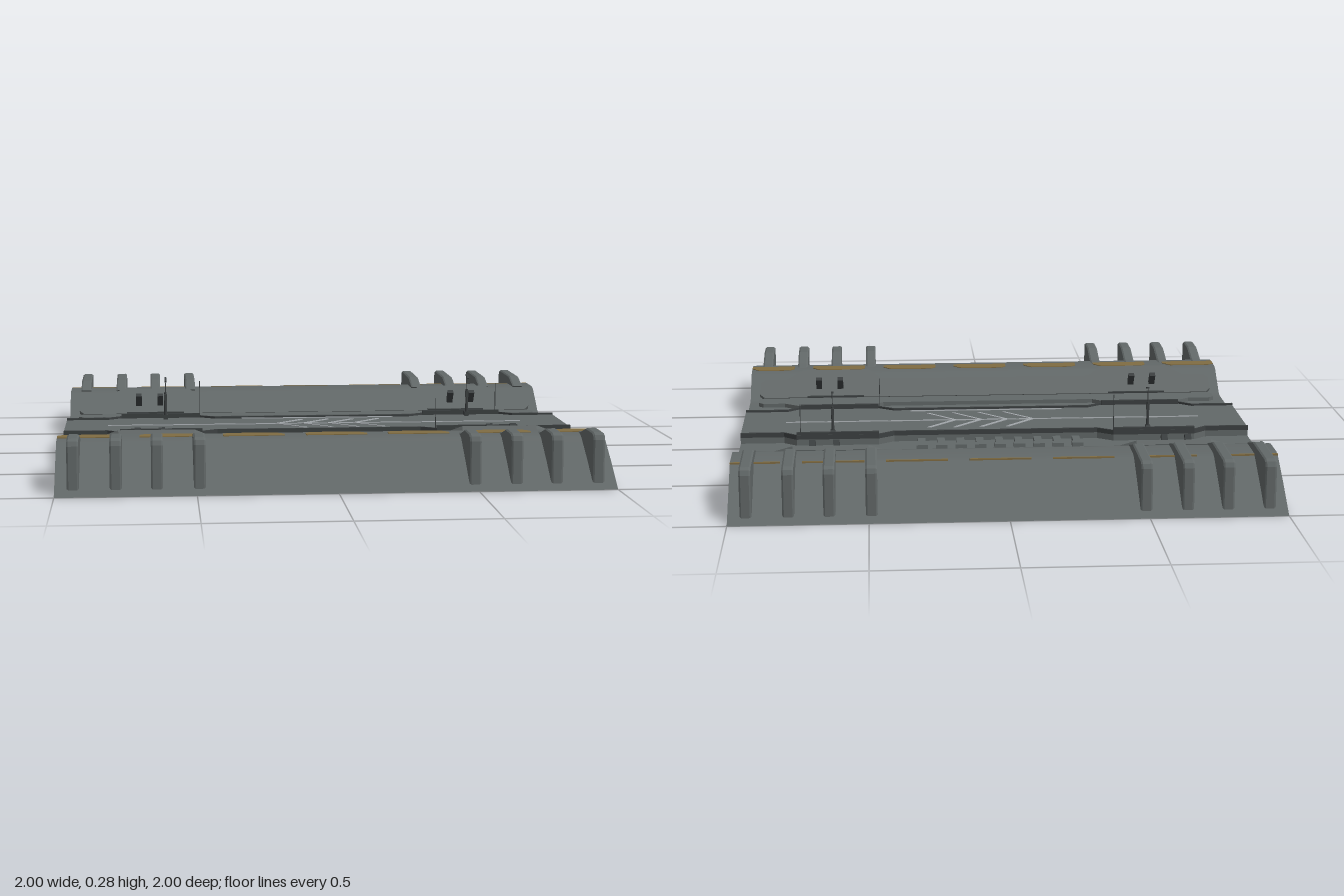
import * as THREE from 'three';

const mat = (name, color, side = THREE.FrontSide) => {
  const m = new THREE.MeshStandardMaterial({ color, side });
  m.name = name;
  return m;
};

export function createModel() {
  const root = new THREE.Group();
  root.name = 'trackSegment';
  const grey = mat('grey metal', 0x626868);
  const shell = mat('grey shell', 0x626868, THREE.DoubleSide);
  const dark = mat('dark metal', 0x3c4041);
  const amber = mat('amber paint', 0x806c42, THREE.DoubleSide);
  const pale = mat('pale paint', 0xa4a9ad);

  const add = (parent, name, geo, m, x = 0, y = 0, z = 0) => {
    const mesh = new THREE.Mesh(geo, m);
    mesh.name = name;
    mesh.position.set(x, y, z);
    parent.add(mesh);
    return mesh;
  };
  const box = (parent, name, m, w, h, d, x, y, z) => add(parent, name, new THREE.BoxGeometry(w, h, d), m, x, y, z);
  // Flat plate: outline in x, z; thickness along y
  const plate = (pts, h) => {
    const s = new THREE.Shape(pts.map(([x, z]) => new THREE.Vector2(x, -z)));
    return new THREE.ExtrudeGeometry(s, { depth: h, bevelEnabled: false }).rotateX(-Math.PI / 2);
  };
  const mirrorX = half => [...half, ...half.map(([x, z]) => [-x, z]).reverse()];

  // Trough-shaped base: one cross-section swept along x, open underneath
  const half = [[1, 0], [0.88, 0.085], [0.77, 0.155], [0.74, 0.165], [0.63, 0.165], [0.6, 0.158], [0.49, 0.075], [0.47, 0.07], [0.42, 0.07]];
  const profile = [...half, ...half.map(([z, y]) => [-z, y]).reverse()];
  const pos = [], idx = [];
  profile.forEach(([z, y], i) => {
    pos.push(-1, y, z, 1, y, z);
    const a = i * 2;
    if (i < profile.length - 1) idx.push(a, a + 1, a + 2, a + 1, a + 3, a + 2);
  });
  const sweep = new THREE.BufferGeometry();
  sweep.setAttribute('position', new THREE.Float32BufferAttribute(pos, 3));
  sweep.setIndex(idx);
  sweep.computeVertexNormals();
  add(root, 'base', sweep, shell);
  const endShape = new THREE.Shape(profile.map(([z, y]) => new THREE.Vector2(-z, y)));
  for (const s of [1, -1]) {
    add(root, 'endWall', new THREE.ShapeGeometry(endShape).rotateY(s * Math.PI / 2), shell, s, 0, 0);
  }

  // Raised middle deck with wider bays and a rail along each edge
  const edge = mirrorX([[-1, 0.175], [-0.83, 0.175], [-0.78, 0.215], [-0.46, 0.215], [-0.4, 0.175]]);
  const deckOutline = [...edge, ...edge.map(([x, z]) => [x, -z]).reverse()];
  add(root, 'deck', plate(deckOutline, 0.037), grey, 0, 0.068, 0);
  for (const s of [1, -1]) {
    const outer = edge.map(([x, z]) => [x, s * (z + 0.004)]);
    const inner = edge.map(([x, z]) => [x, s * (z - 0.005)]).reverse();
    add(root, 'deckRail', plate([...outer, ...inner], 0.018), dark, 0, 0.095, 0);
    for (const bay of [-1, 1]) {
      box(root, 'bayRail', dark, 0.32, 0.028, 0.012, bay * 0.62, 0.109, s * 0.212);
    }
  }

  // Painted deck markings
  box(root, 'centreLine', pale, 1.66, 0.004, 0.007, 0, 0.106, 0);
  for (const z of [-0.16, 0.152]) box(root, 'sideLine', pale, 0.62, 0.004, 0.008, 0.02, 0.106, z);
  const chevron = [[0, 0], [0.108, -0.108], [0.122, -0.108], [0.016, 0], [0.122, 0.11], [0.108, 0.11]];
  for (let i = 0; i < 4; i++) add(root, 'chevron', plate(chevron, 0.004), pale, -0.165 + i * 0.104, 0.104, 0);

  // Rows of teeth beside the deck
  const tooth = [[-0.022, 0.28], [-0.022, 0.255], [-0.015, 0.245], [-0.015, 0.175],
    [0.015, 0.175], [0.015, 0.245], [0.022, 0.255], [0.022, 0.28]];
  for (let i = 0; i < 9; i++) {
    const x = -0.312 + i * 0.0757;
    add(root, 'tooth', plate(tooth, 0.018), grey, x, 0.068, 0);
    add(root, 'tooth', plate(tooth.map(([a, z]) => [a, -z - 0.014]), 0.018), grey, x, 0.068, 0);
  }

  // Panel outline: straight edge at z = 0, bays stepping out to z = wide
  const panelOutline = (narrow, wide) => [
    ...mirrorX([[-0.94, 0], [-0.96, 0.02], [-0.96, narrow - 0.02], [-0.94, narrow], [-0.85, narrow],
      [-0.78, wide], [-0.5, wide], [-0.44, narrow]])];
  const slope = 0.64;

  // Each long side: floor panel, wall panel, lamps and buttress fins
  for (const s of [1, -1]) {
    const side = new THREE.Group();
    side.name = s > 0 ? 'frontSide' : 'backSide';
    side.rotation.y = s > 0 ? 0 : Math.PI;
    root.add(side);

    const floorOutline = panelOutline(0.09, 0.14).map(([x, z]) => [x, -z]);
    add(side, 'floorPanel', plate(floorOutline, 0.018), grey, 0, 0.068, 0.47);
    add(side, 'wallPanel', plate(panelOutline(0.1, 0.15), 0.018), grey, 0, 0.072, 0.488).rotation.x = -slope;

    // Lamps leaning out from the wall
    for (const bay of [-1, 1]) {
      box(side, 'lampMount', dark, 0.24, 0.008, 0.012, bay * 0.64, 0.088, 0.478);
      for (const x of [0.62, 0.71]) {
        box(side, 'lampArm', dark, 0.012, 0.012, 0.05, bay * x, 0.113, 0.525).rotation.x = 0.8;
        box(side, 'lamp', dark, 0.024, 0.018, 0.055, bay * x, 0.142, 0.5).rotation.x = 0.95;
      }
    }

    // Fins: side outline in z, y; extruded across x
    const topEnd = s > 0 ? 0.84 : 0.72;
    const finPts = [[0.97, 0.025], [0.968, 0.175], [0.962, 0.19], [0.945, 0.196], [topEnd, 0.196],
      [topEnd - 0.1, 0.168], [0.64, 0.155], [0.66, 0.11], [0.85, 0.08]];
    const finShape = new THREE.Shape(finPts.map(([z, y]) => new THREE.Vector2(-z, y)));
    const fin = new THREE.ExtrudeGeometry(finShape, {
      depth: 0.03, bevelEnabled: true, bevelSize: 0.004, bevelThickness: 0.006, bevelSegments: 1
    }).translate(0, 0, -0.015).rotateY(Math.PI / 2);
    for (const x of [0.49, 0.64, 0.785, 0.935]) {
      add(side, 'fin', fin, grey, x, 0, 0);
      add(side, 'fin', fin, grey, -x, 0, 0);
    }
  }

  // Amber dashes: broad along the front ridge, thin along the back
  for (let i = 0; i < 7; i++) {
    const a = Math.max(-1, -1.005 + i * 0.304), b = Math.min(1, -0.78 + i * 0.304);
    const dash = [[a, 0.705], [b, 0.705], [b, 0.675], [b - 0.03, 0.64], [a + 0.02, 0.64], [a, 0.66]];
    add(root, 'frontDash', plate(dash, 0.005), amber, 0, 0.1625, 0);
    box(root, 'backDash', amber, b - a, 0.006, 0.008, (a + b) / 2, 0.161, -0.76);
  }

  // Signal posts at the back edge of the deck
  for (const x of [-0.6, 0.64]) {
    const post = new THREE.Group();
    post.name = 'signalPost';
    post.position.set(x, 0.1, -0.175);
    root.add(post);
    box(post, 'postBase', dark, 0.018, 0.02, 0.04, 0, 0.012, -0.01);
    add(post, 'postLower', new THREE.CylinderGeometry(0.005, 0.006, 0.11, 8), dark, 0, 0.06, 0);
    add(post, 'postUpper', new THREE.CylinderGeometry(0.002, 0.002, 0.06, 6), dark, 0, 0.14, 0);
    box(post, 'postBox', dark, 0.012, 0.025, 0.016, 0, 0.095, 0);
    box(post, 'postHead', dark, 0.008, 0.006, 0.042, 0, 0.168, 0.014).rotation.x = -0.25 + 0.5;
  }

  // Thin aerials
  for (const [x, z, top] of [[-0.46, -0.212, 0.255], [0.765, -0.212, 0.235], [0.455, 0.212, 0.23]]) {
    add(root, 'aerial', new THREE.CylinderGeometry(0.0015, 0.0015, top - 0.1, 6), dark, x, (top + 0.1) / 2, z);
  }
  return root;
}
